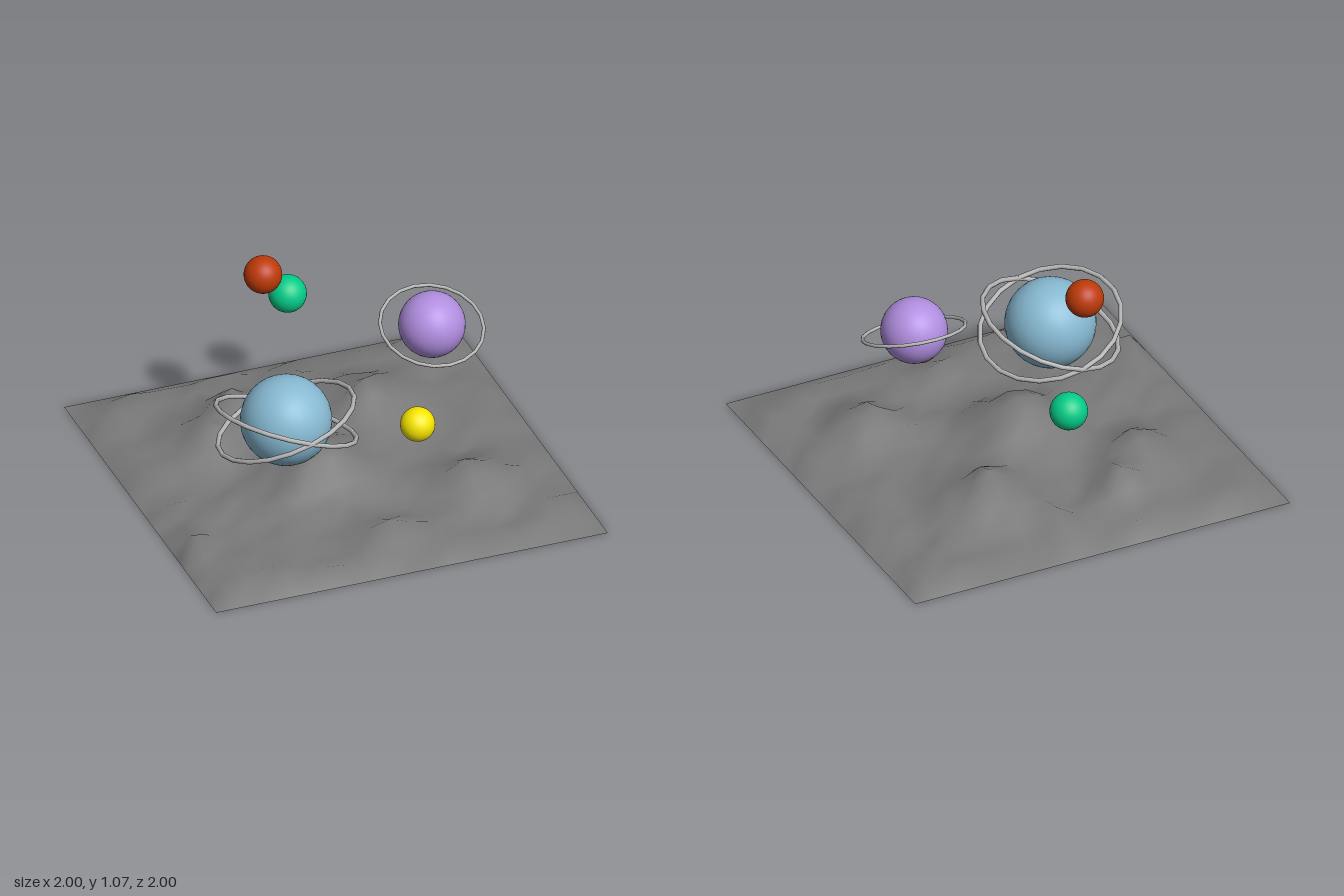
import * as THREE from 'three';

const paint = (color, side = THREE.FrontSide) => new THREE.MeshStandardMaterial({ color, side });

// Hills of the landscape: x, z, height above the rough base, spread
const HILLS = [
  [-0.1, 0.08, 0.2, 0.16],
  [0.3, -0.4, 0.155, 0.15],
  [0.54, 0.41, 0.13, 0.12],
  [-0.5, -0.37, 0.12, 0.13],
  [-0.3, -0.6, 0.145, 0.075],
  [-0.9, 0.5, 0.105, 0.045],
  [0, 0.7, 0.07, 0.09],
  [0.1, -0.7, 0.06, 0.06],
];

// Square open ground sheet whose rim lies at zero height
function makeGround() {
  let seed = 7;
  const random = () => (seed = (seed * 16807) % 2147483647) / 2147483647;
  const geometry = new THREE.PlaneGeometry(2, 2, 20, 20).rotateX(-Math.PI / 2);
  const p = geometry.attributes.position;
  for (let i = 0; i < p.count; i++) {
    const x = p.getX(i), z = p.getZ(i);
    let y = 0.022 + 0.045 * random();
    for (const [hx, hz, h, s] of HILLS) {
      y += h * Math.exp(-((x - hx) ** 2 + (z - hz) ** 2) / (2 * s * s));
    }
    const rim = Math.max(Math.abs(x), Math.abs(z)) > 0.99;
    p.setY(i, rim ? 0 : y);
  }
  geometry.computeVertexNormals();
  const ground = new THREE.Mesh(geometry, paint(0x7a7a7a, THREE.DoubleSide));
  ground.name = 'ground';
  return ground;
}

// Ring lying flat, then tilted about x and z, slightly below the ball's centre
function makeRing(radius, tube, tiltX, tiltZ) {
  const geometry = new THREE.TorusGeometry(radius, tube, 8, 20).rotateX(Math.PI / 2);
  const ring = new THREE.Mesh(geometry, paint(0xb4b4b4));
  ring.rotation.set(tiltX, 0, tiltZ);
  ring.position.y = -0.008;
  ring.name = 'ring';
  return ring;
}

// Floating sphere with any rings around it
function makePlanet(name, position, radius, color, rings = []) {
  const planet = new THREE.Group();
  planet.name = name;
  planet.position.set(...position);
  const ball = new THREE.Mesh(new THREE.SphereGeometry(radius, 32, 24), paint(color));
  ball.name = 'ball';
  planet.add(ball, ...rings.map((r) => makeRing(...r)));
  return planet;
}

export function createModel() {
  const model = new THREE.Group();
  model.name = 'planetsOverLandscape';
  model.add(
    makeGround(),
    makePlanet('bluePlanet', [-0.35, 0.5, 0.245], 0.22, 0x87b9d2, [
      [0.347, 0.012, -0.19, -0.34],
      [0.347, 0.012, -0.19, 0.305],
    ]),
    makePlanet('purplePlanet', [0.453, 0.77, 0.095], 0.161, 0xb18ee0, [
      [0.25, 0.009, 0.35, 0],
    ]),
    makePlanet('redMoon', [-0.254, 0.974, -0.307], 0.092, 0xbd3a08),
    makePlanet('greenMoon', [0.007, 0.61, -0.655], 0.092, 0x04cc88),
    makePlanet('yellowMoon', [0.254, 0.442, 0.42], 0.084, 0xf8e600),
  );
  return model;
}
